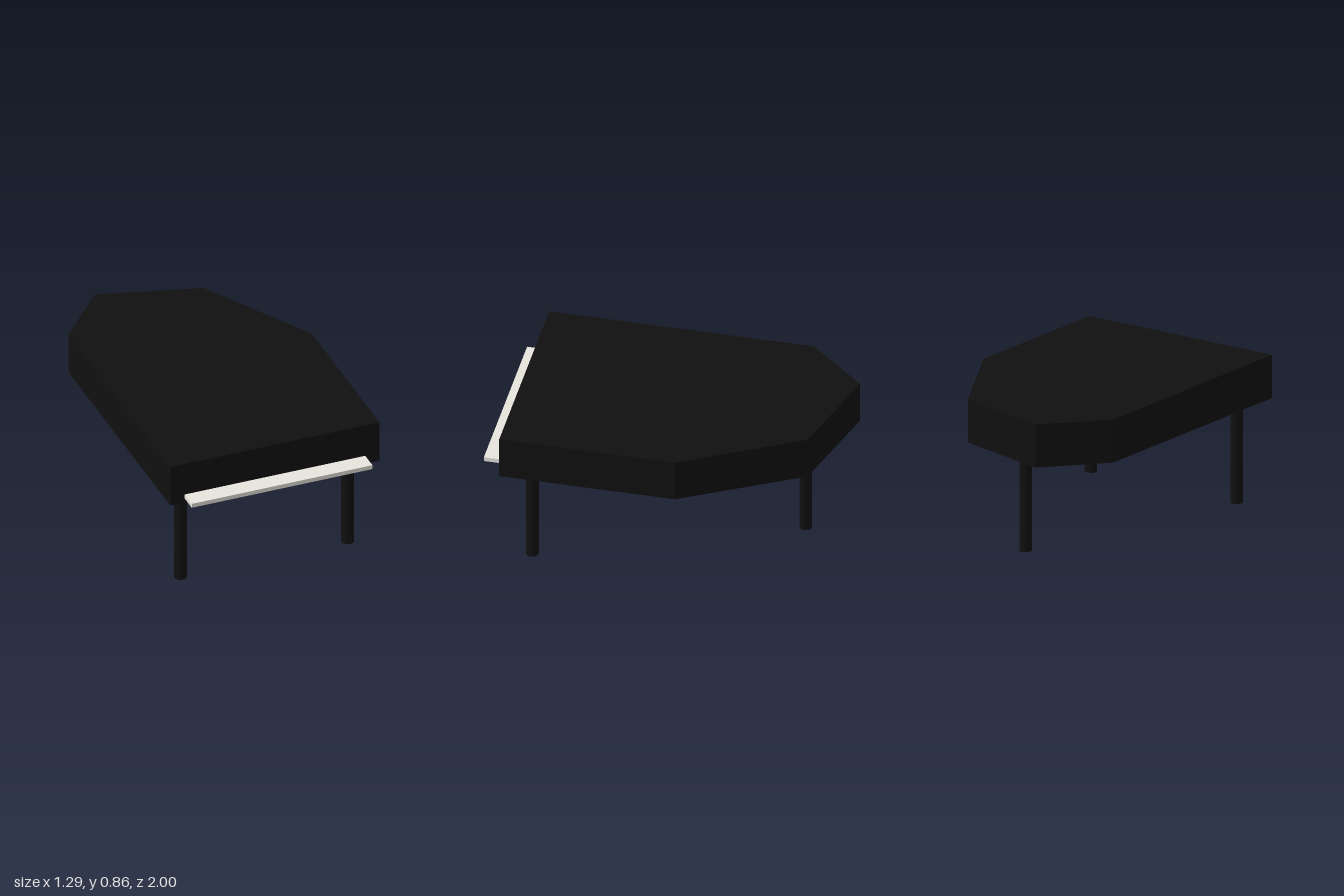
import * as THREE from 'three';

export function createModel() {
  const group = new THREE.Group();
  const black = new THREE.MeshStandardMaterial({ name: 'black lacquer', color: 0x101010 });
  const ivory = new THREE.MeshStandardMaterial({ name: 'ivory', color: 0xeeece4 });

  const add = (name, geometry, material, x = 0, y = 0, z = 0) => {
    const mesh = new THREE.Mesh(geometry, material);
    mesh.name = name;
    mesh.position.set(x, y, z);
    group.add(mesh);
  };

  const bottom = 0.605, top = 0.863;

  // Case: angular outline in plan (x, z), extruded upwards
  const outline = [
    [-0.645, 0.89], [0.645, 0.89], [0.645, -0.14],
    [0.257, -0.83], [-0.345, -1], [-0.645, -0.66],
  ];
  const shape = new THREE.Shape(outline.map(([x, z]) => new THREE.Vector2(x, -z)));
  const body = new THREE.ExtrudeGeometry(shape, { depth: top - bottom, bevelEnabled: false });
  body.rotateX(-Math.PI / 2);
  add('case', body, black, 0, bottom, 0);

  // Keyboard ledge projecting from the front
  add('keyboard', new THREE.BoxGeometry(1.114, 0.026, 0.22), ivory, 0, 0.645, 0.89);

  // Three round legs
  const leg = new THREE.CylinderGeometry(0.037, 0.037, bottom, 16);
  const legs = [
    ['frontLeftLeg', 0.515, 0.725],
    ['frontRightLeg', -0.515, 0.725],
    ['backLeg', -0.086, -0.74],
  ];
  for (const [name, x, z] of legs) add(name, leg, black, x, bottom / 2, z);

  return group;
}
